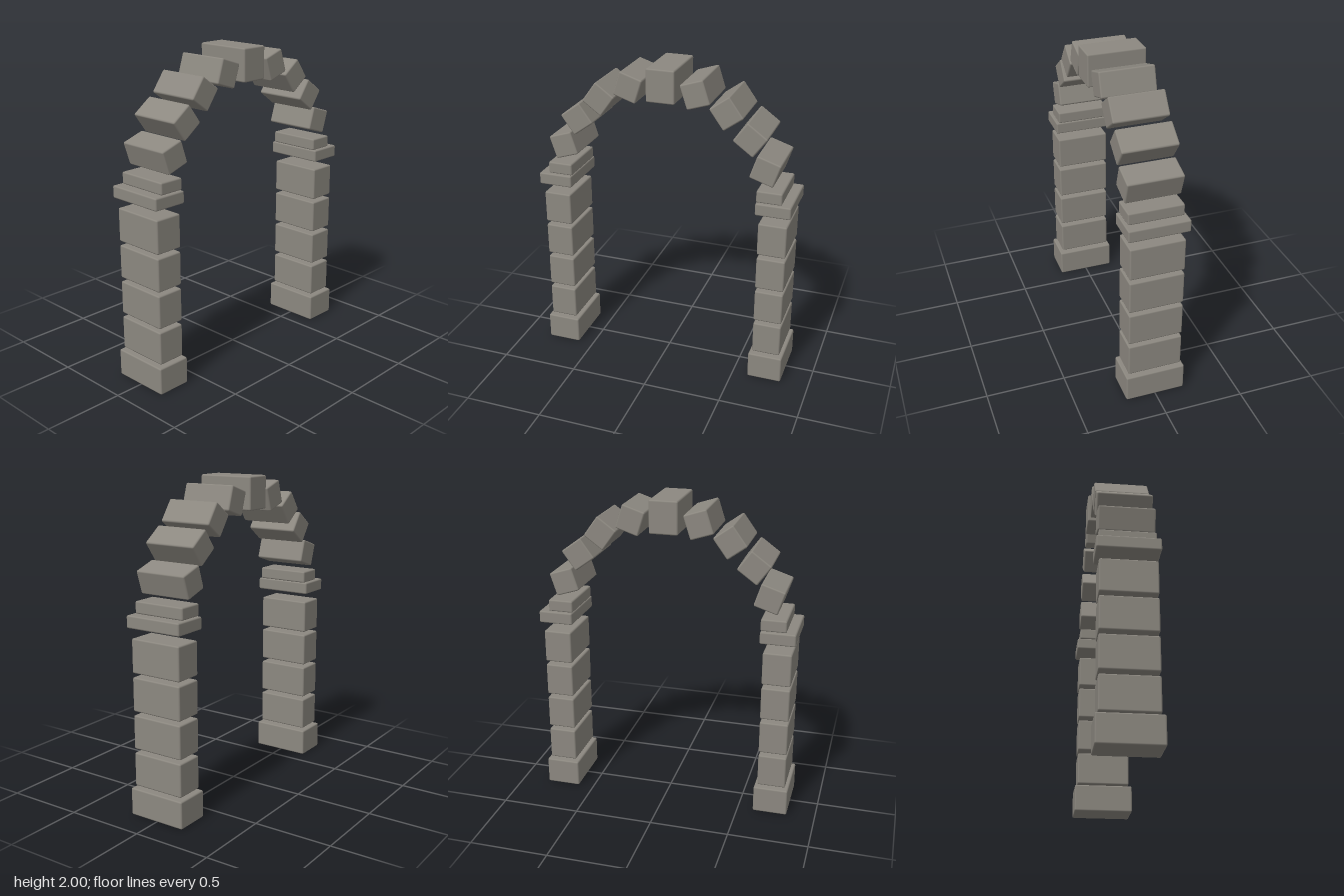
import * as THREE from 'three';
import { RoundedBoxGeometry } from 'three/addons/geometries/RoundedBoxGeometry.js';

const BEVEL = 0.01;

export function createModel() {
  const arch = new THREE.Group();
  arch.name = 'stoneArch';
  const stone = new THREE.MeshStandardMaterial({ color: 0x8c8880 });
  stone.name = 'warm grey stone';

  // One bevelled block, centred at (x, y) and turned about z
  function block(parent, name, w, h, d, x, y, turn = 0) {
    const mesh = new THREE.Mesh(new RoundedBoxGeometry(w, h, d, 1, BEVEL), stone);
    mesh.name = name;
    mesh.position.set(x, y, 0);
    mesh.rotation.z = turn;
    parent.add(mesh);
  }

  // Loose arch stones from the springing up to the crown: [x, y]
  const voussoirs = [[0.648, 1.444], [0.55, 1.628], [0.402, 1.772], [0.21, 1.865]];

  for (const side of [1, -1]) {
    const label = side > 0 ? 'left' : 'right';
    const pillar = new THREE.Group();
    pillar.name = label + 'Pillar';
    arch.add(pillar);

    // Pillar: plinth, four shaft blocks, capital and narrower impost
    block(pillar, 'plinth', 0.22, 0.174, 0.38, side * 0.71, 0.087);
    for (let i = 0; i < 4; i++) {
      block(pillar, 'shaftBlock' + (i + 1), 0.18, 0.211, 0.344, side * 0.71, 0.293 + i * 0.235);
    }
    block(pillar, 'capital', 0.22, 0.078, 0.38, side * 0.71, 1.204);
    block(pillar, 'impost', 0.16, 0.076, 0.344, side * 0.68, 1.28);

    // Half arch: each stone tilts 18 degrees more than the last
    const half = new THREE.Group();
    half.name = label + 'HalfArch';
    arch.add(half);
    voussoirs.forEach(([x, y], i) => {
      block(half, 'archStone' + (i + 1), 0.155, 0.15, 0.344, side * x, y, -side * (i + 1) * Math.PI / 10);
    });
  }

  // Keystone at the crown
  block(arch, 'keystone', 0.18, 0.206, 0.366, 0, 1.897);

  return arch;
}
